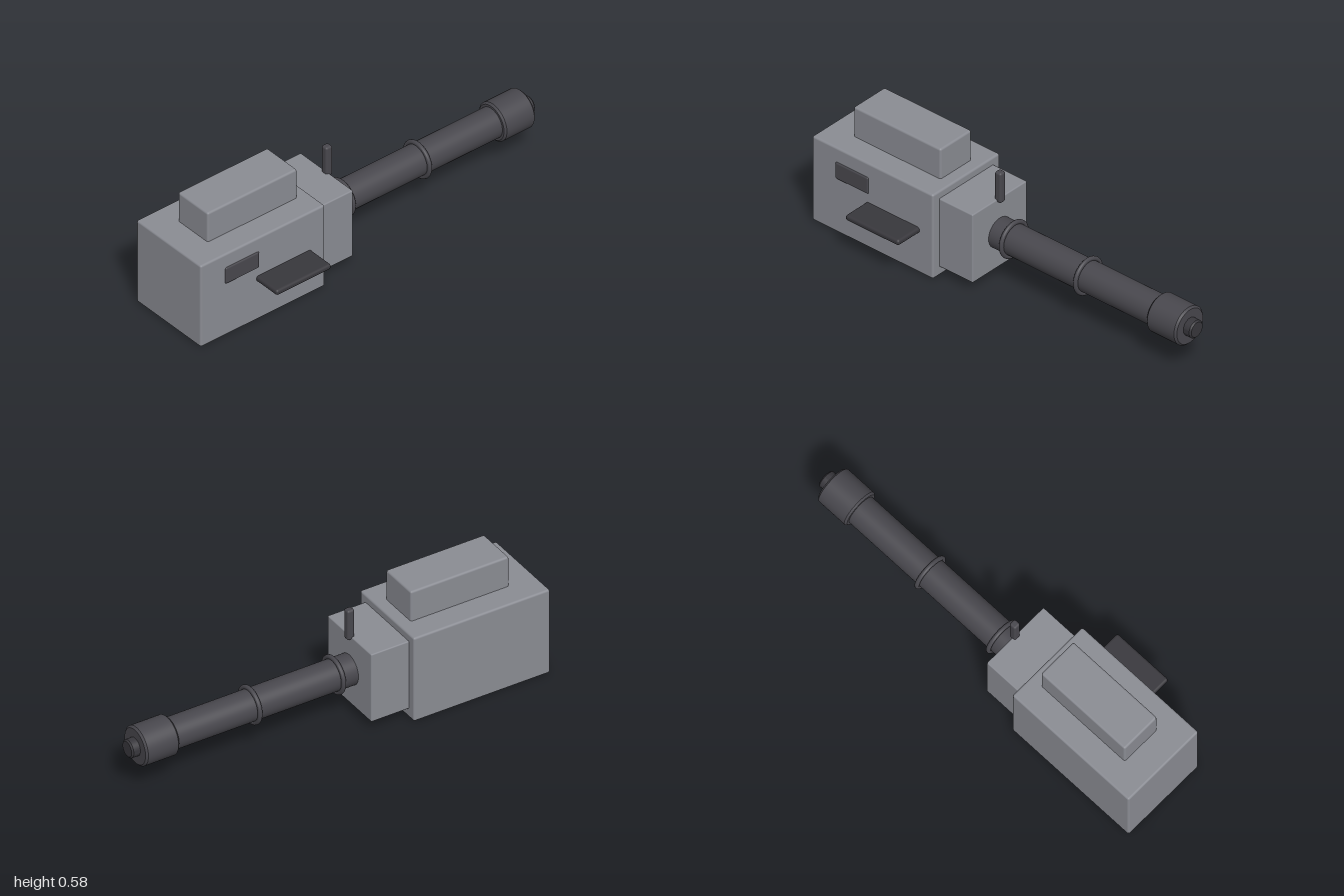
import * as THREE from 'three';
import { RoundedBoxGeometry } from 'three/addons/geometries/RoundedBoxGeometry.js';
import { toCreasedNormals } from 'three/addons/utils/BufferGeometryUtils.js';

const AXIS_X = -0.07, AXIS_Y = 0.22;

export function createModel() {
  const model = new THREE.Group();
  const casing = new THREE.MeshStandardMaterial({ color: 0x8a8c93 });
  const steel = new THREE.MeshStandardMaterial({ color: 0x48474d });
  const darkSteel = new THREE.MeshStandardMaterial({ color: 0x38373c });

  const add = (name, geometry, material) => {
    const mesh = new THREE.Mesh(geometry, material);
    mesh.name = name;
    model.add(mesh);
    return mesh;
  };

  // Rounded box given by its extents on each axis
  const box = (name, [x0, x1], [y0, y1], [z0, z1], radius, material) =>
    add(name, new RoundedBoxGeometry(x1 - x0, y1 - y0, z1 - z0, 2, radius), material)
      .position.set((x0 + x1) / 2, (y0 + y1) / 2, (z0 + z1) / 2);

  // Bevelled cylinder along the barrel axis, from z0 (rear) to z1 (muzzle side)
  const rod = (name, r, z0, z1, bevel, material) => {
    const length = z0 - z1;
    const profile = [
      [0, 0], [r - bevel, 0], [r, bevel],
      [r, length - bevel], [r - bevel, length], [0, length],
    ].map(([x, y]) => new THREE.Vector2(x, y));
    const geometry = toCreasedNormals(new THREE.LatheGeometry(profile, 40), 0.6);
    geometry.rotateX(-Math.PI / 2);
    add(name, geometry, material).position.set(AXIS_X, AXIS_Y, z0);
  };

  // Housing
  box('receiverBody', [-0.285, 0.146], [0, 0.432], [0.312, 1], 0.01, casing);
  box('topCover', [-0.169, 0.031], [0.4, 0.584], [0.37, 0.866], 0.01, casing);
  box('frontBlock', [-0.245, 0.105], [0.045, 0.395], [0.122, 0.34], 0.006, casing);

  // Side fittings
  box('sidePort', [0.13, 0.152], [0.275, 0.361], [0.677, 0.866], 0.009, steel);
  box('sideTray', [0.12, 0.283], [0.204, 0.232], [0.388, 0.692], 0.012, darkSteel);

  // Sight post
  box('sightPost', [-0.088, -0.053], [0.38, 0.533], [0.103, 0.139], 0.01, steel);

  // Barrel assembly
  rod('barrel', 0.073, 0.2, -0.85, 0.004, steel);
  rod('muzzleCollar', 0.093, -0.79, -0.96, 0.009, steel);
  rod('muzzleTip', 0.043, -0.9, -1, 0.007, darkSteel);
  for (const z of [0.042, -0.38]) {
    add('barrelRing', new THREE.TorusGeometry(0.081, 0.0105, 12, 40), steel)
      .position.set(AXIS_X, AXIS_Y, z);
  }

  return model;
}
